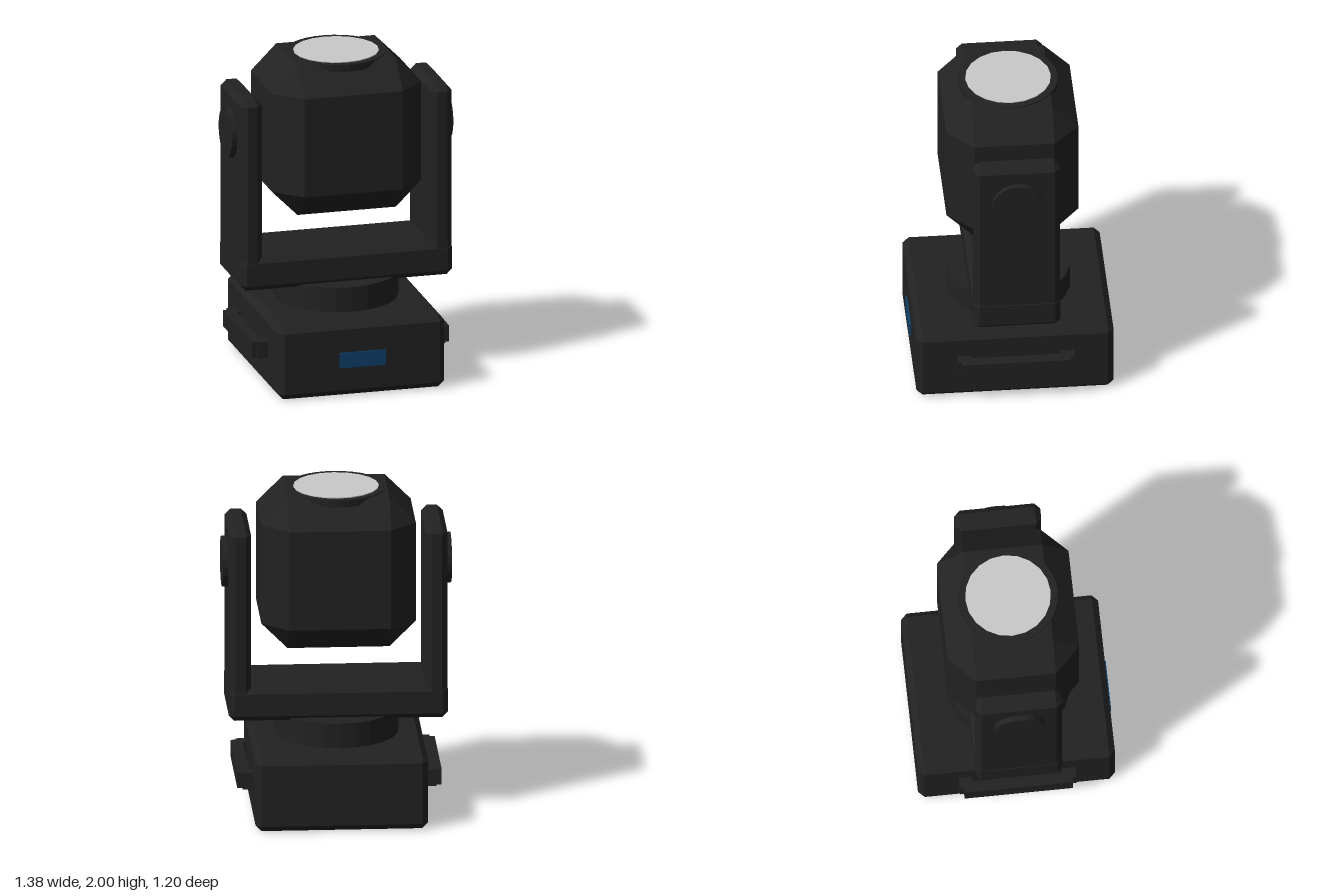
import * as THREE from 'three';
import { ConvexGeometry } from 'three/addons/geometries/ConvexGeometry.js';

const material = (name, color) => {
  const m = new THREE.MeshStandardMaterial({ color });
  m.name = name;
  return m;
};

// Box from min to max with every edge cut by c
function chamferBox(min, max, c) {
  const mid = min.map((v, i) => (v + max[i]) / 2);
  const half = min.map((v, i) => (max[i] - v) / 2);
  const points = [];
  for (const sx of [-1, 1]) for (const sy of [-1, 1]) for (const sz of [-1, 1]) {
    for (let face = 0; face < 3; face++) {
      const p = [sx, sy, sz].map((s, i) => mid[i] + s * (half[i] - (i === face ? 0 : c)));
      points.push(new THREE.Vector3(...p));
    }
  }
  return new ConvexGeometry(points);
}

function box(min, max) {
  const g = new THREE.BoxGeometry(...min.map((v, i) => max[i] - v));
  return g.translate(...min.map((v, i) => (v + max[i]) / 2));
}

// Upright faceted disc between two heights
function disc(radius, y0, y1, sides = 20) {
  const g = new THREE.CylinderGeometry(radius, radius, y1 - y0, sides).toNonIndexed();
  g.translate(0, (y0 + y1) / 2, 0);
  g.computeVertexNormals();
  return g;
}

export function createModel() {
  const model = new THREE.Group();
  model.name = 'movingHeadLight';
  const black = material('black housing', 0x222222);
  const white = material('white lens', 0xcacaca);
  const blue = material('blue display', 0x0e426d);

  const body = new THREE.Group();
  body.name = 'body';
  body.position.z = -0.007;
  model.add(body);
  const add = (name, geometry, mat = black) => {
    const mesh = new THREE.Mesh(geometry, mat);
    mesh.name = name;
    body.add(mesh);
    return mesh;
  };

  // Base, display and turntable
  add('base', chamferBox([-0.52, 0, -0.595], [0.52, 0.455, 0.595], 0.037));
  add('display', box([-0.145, 0.18, 0.597], [0.145, 0.275, 0.606]), blue);
  add('turntable', disc(0.375, 0.44, 0.61, 24));

  // Yoke
  add('yokeCrossbar', chamferBox([-0.66, 0.595, -0.262], [0.66, 0.8, 0.262], 0.033));

  for (const s of [-1, 1]) {
    const side = s > 0 ? 'left' : 'right';
    const span = (a, b) => (s > 0 ? [a, b] : [-b, -a]);

    const [a0, a1] = span(0.525, 0.657);
    add(side + 'YokeArm', chamferBox([a0, 0.6, -0.26], [a1, 1.79, 0.26], 0.035));

    // Round tilt cap on the outside of the arm
    const cap = disc(0.153, 0.645, 0.69);
    cap.rotateZ(-s * Math.PI / 2);
    cap.translate(0, 1.53, 0);
    add(side + 'TiltCap', cap);

    // Carrying handle: a bar on two posts
    const [b0, b1] = span(0.545, 0.615);
    add(side + 'HandleBar', box([b0, 0.201, -0.327], [b1, 0.301, 0.327]));
    const [p0, p1] = span(0.51, 0.584);
    for (const t of [-1, 1]) {
      const [z0, z1] = t > 0 ? [0.27, 0.352] : [-0.352, -0.27];
      add(side + 'HandlePost', box([p0, 0.2, z0], [p1, 0.302, z1]));
    }
  }

  // Lamp head with the lens facing up
  add('head', chamferBox([-0.465, 1.05, -0.398], [0.465, 1.985, 0.398], 0.158));
  add('lensRing', disc(0.3, 1.947, 1.991, 32));
  add('lens', disc(0.258, 1.988, 1.996), white);

  return model;
}
